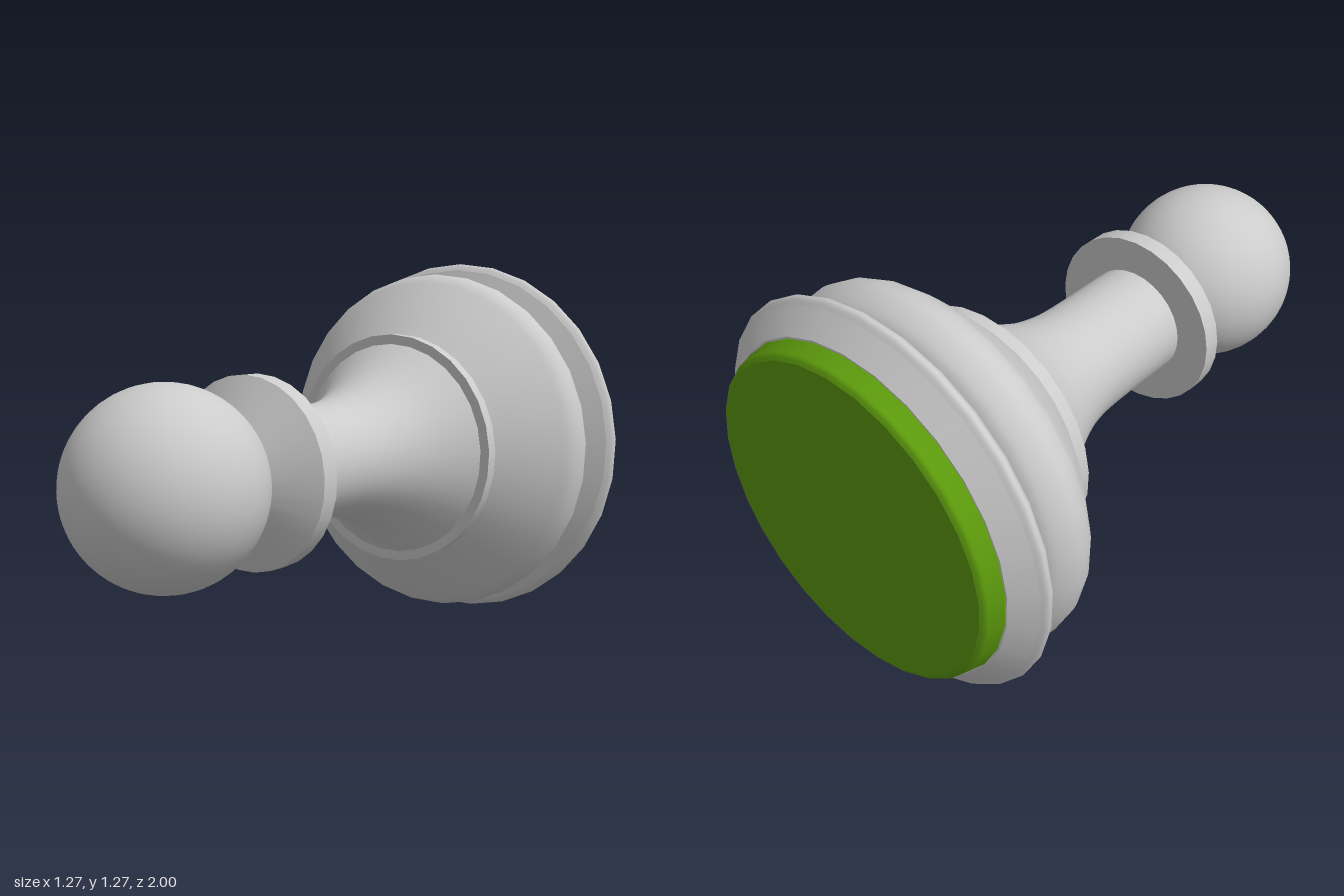
import * as THREE from 'three';

const SIDES = 29;
const AXIS_Y = 0.635;

export function createModel() {
  const root = new THREE.Group();
  const pawn = new THREE.Group();
  pawn.name = 'pawn';
  // Turned along y, then laid down so the head points to +z
  pawn.rotation.x = Math.PI / 2;
  pawn.position.y = AXIS_Y;
  root.add(pawn);

  const grey = new THREE.MeshStandardMaterial({ color: 0xcccccc, side: THREE.DoubleSide });
  const green = new THREE.MeshStandardMaterial({ color: 0x5c9a0c, side: THREE.DoubleSide });

  // One turned part; each run of [radius, height] is smooth, runs meet at sharp edges
  function turned(name, material, ...runs) {
    const part = new THREE.Group();
    part.name = name;
    for (const run of runs) {
      let points = run.map(([r, h]) => new THREE.Vector2(r, h));
      if (points.length > 3) points = new THREE.SplineCurve(points).getPoints(points.length * 4);
      const geometry = new THREE.LatheGeometry(points, SIDES, Math.PI);
      part.add(new THREE.Mesh(geometry, material));
    }
    pawn.add(part);
  }

  // Felt pad under the foot
  turned('feltPad', green,
    [[0, -1], [0.51, -1]],
    [[0.51, -1], [0.526, -0.99], [0.532, -0.97], [0.542, -0.935]]);

  // Sharp-edged foot rim
  turned('footRim', grey,
    [[0, -0.935], [0.548, -0.935]],
    [[0.548, -0.935], [0.617, -0.882]],
    [[0.617, -0.882], [0.632, -0.871], [0.636, -0.86], [0.63, -0.848], [0.615, -0.835]],
    [[0.615, -0.835], [0.52, -0.795]]);

  // Rounded bulge tapering up to the band
  turned('baseBulge', grey,
    [[0.52, -0.795], [0.562, -0.772], [0.59, -0.73], [0.599, -0.69], [0.587, -0.645],
      [0.553, -0.605], [0.475, -0.53], [0.395, -0.46]]);

  // Thin band around the foot of the stem
  turned('stemBand', grey,
    [[0.37, -0.465], [0.395, -0.465]],
    [[0.395, -0.465], [0.395, -0.42]],
    [[0.395, -0.42], [0.36, -0.42]]);

  // Flared stem
  turned('stem', grey,
    [[0.362, -0.42], [0.305, -0.345], [0.255, -0.265], [0.215, -0.17], [0.194, -0.08],
      [0.187, 0], [0.185, 0.1]],
    [[0.185, 0.1], [0.185, 0.295]]);

  // Neck collar
  turned('neckCollar', grey,
    [[0, 0.29], [0.302, 0.29]],
    [[0.302, 0.29], [0.302, 0.35]],
    [[0.302, 0.35], [0.15, 0.43]],
    [[0.15, 0.43], [0.1, 0.43]]);

  // Ball head
  const head = new THREE.Mesh(new THREE.SphereGeometry(0.302, 48, 32), grey);
  head.name = 'head';
  head.position.y = 0.698;
  pawn.add(head);

  return root;
}
